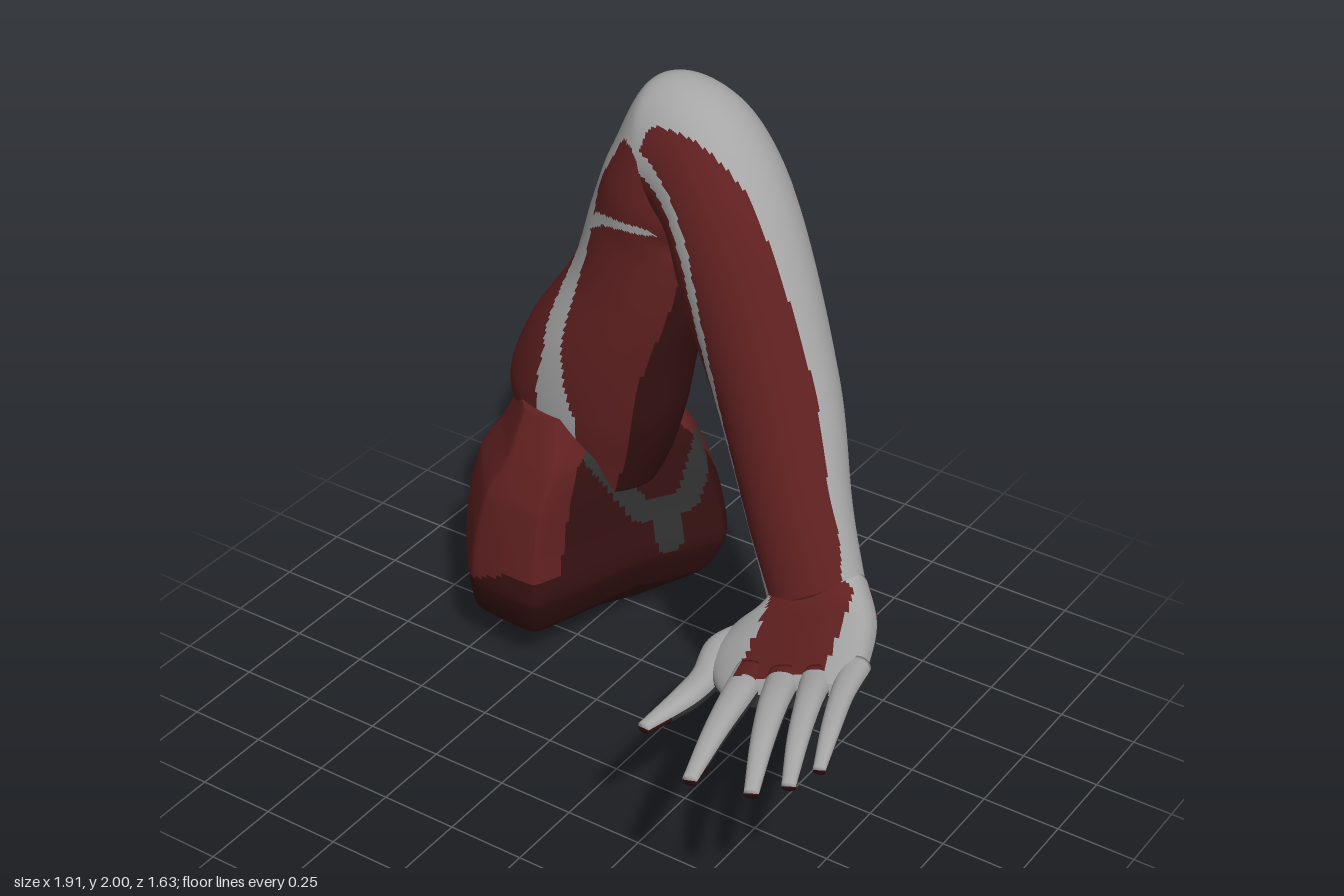
import * as THREE from 'three';

const V3 = (x, y, z) => new THREE.Vector3(x, y, z);
const RED = 0, GREY = 1, DARK = 2, DEEP = 3;
const { lerp, clamp } = THREE.MathUtils;

// Closed skin over a grid of points; paint(u, angle, centre) picks the material of each cell
function skin(name, nu, nv, point, paint, mats) {
  const pos = [], lists = [[], [], [], []], pts = [];
  for (let i = 0; i <= nu; i++) {
    const u = clamp((i - 1) / (nu - 2), 0, 1);
    for (let j = 0; j < nv; j++) {
      const p = point(u, j / nv, i === 0 || i === nu ? 0.001 : 1);
      pts.push(p);
      pos.push(p.x, p.y, p.z);
    }
  }
  for (let i = 0; i < nu; i++) {
    for (let j = 0; j < nv; j++) {
      const k = (j + 1) % nv;
      const a = i * nv + j, b = i * nv + k, c = a + nv, d = b + nv;
      const mid = pts[a].clone().add(pts[d]).multiplyScalar(0.5);
      const u = clamp((i - 0.5) / (nu - 2), 0, 1);
      lists[paint(u, (j + 0.5) / nv * 360, mid)].push(a, b, c, b, d, c);
    }
  }
  const g = new THREE.BufferGeometry();
  g.setAttribute('position', new THREE.Float32BufferAttribute(pos, 3));
  g.setIndex(lists.flat());
  let start = 0;
  lists.forEach((l, m) => {
    if (l.length) g.addGroup(start, l.length, m);
    start += l.length;
  });
  g.computeVertexNormals();
  const mesh = new THREE.Mesh(g, mats);
  mesh.name = name;
  return mesh;
}

// Limb through rings [outer xyz, inner xyz, half thickness]; angle 0 = outer, 90 = front or top
function limb(name, rings, nu, nv, paint, mats, square = 1) {
  const curve = f => new THREE.CatmullRomCurve3(rings.map(f));
  const A = curve(r => V3(r[0], r[1], r[2])), B = curve(r => V3(r[3], r[4], r[5]));
  const H = curve((r, i) => V3(r[6], i * 0.1, 0));
  const centre = u => A.getPoint(u).add(B.getPoint(u)).multiplyScalar(0.5);
  const round = c => Math.sign(c) * Math.abs(c) ** square;
  return skin(name, nu, nv, (u, v, s) => {
    const c = centre(u), U = A.getPoint(u).sub(c);
    const T = centre(Math.min(1, u + 0.02)).sub(centre(Math.max(0, u - 0.02)));
    const W = T.cross(U).normalize().multiplyScalar(H.getPoint(u).x);
    const a = v * Math.PI * 2;
    return c.addScaledVector(U, s * round(Math.cos(a))).addScaledVector(W, s * round(Math.sin(a)));
  }, paint, mats);
}

// Is the angle inside a stripe given as rows [ring, from, to]?
function inStripe(rows, s, angle) {
  for (let i = 0; i < rows.length - 1; i++) {
    const [s0, a0, b0] = rows[i], [s1, a1, b1] = rows[i + 1];
    if (s < s0 || s > s1) continue;
    const t = (s - s0) / (s1 - s0), a = lerp(a0, a1, t), b = lerp(b0, b1, t);
    if ([angle, angle - 360].some(x => x > a && x < b)) return true;
  }
  return false;
}

// Distance from a point to a segment in the side plane [z, y]
function segDist(z, y, [z0, y0, z1, y1]) {
  const dz = z1 - z0, dy = y1 - y0;
  const t = clamp(((z - z0) * dz + (y - y0) * dy) / (dz * dz + dy * dy), 0, 1);
  return Math.hypot(z - z0 - t * dz, y - y0 - t * dy);
}

export function createModel() {
  const group = new THREE.Group();
  group.name = 'bentArm';
  const colours = [['muscleRed', 0x602020], ['tendonGrey', 0xa6a6a6], ['palmDarkGrey', 0x323232], ['deepRed', 0x361111]];
  const mats = colours.map(([name, color]) => {
    const m = new THREE.MeshStandardMaterial({ color });
    m.name = name;
    return m;
  });

  // Upper arm, elbow and forearm
  const arm = [
    [-0.68, 0.58, -0.42, -0.32, 0.58, -0.42, 0.18],
    [-0.77, 0.72, -0.42, -0.26, 0.72, -0.42, 0.2],
    [-0.82, 0.85, -0.41, -0.21, 0.88, -0.41, 0.215],
    [-0.74, 1.08, -0.41, -0.18, 1.05, -0.41, 0.22],
    [-0.57, 1.35, -0.42, -0.13, 1.28, -0.42, 0.205],
    [-0.50, 1.57, -0.42, -0.12, 1.43, -0.43, 0.2],
    [-0.42, 1.77, -0.42, -0.14, 1.5, -0.42, 0.205],
    [-0.30, 1.985, -0.44, -0.13, 1.52, -0.41, 0.195],
    [-0.1, 1.98, -0.43, -0.11, 1.48, -0.37, 0.2],
    [0.12, 1.8, -0.38, -0.09, 1.38, -0.33, 0.205],
    [0.4, 1.27, -0.27, 0.1, 1.05, -0.22, 0.18],
    [0.53, 0.95, -0.17, 0.27, 0.77, -0.1, 0.145],
    [0.62, 0.73, -0.13, 0.37, 0.61, -0.02, 0.12],
  ];
  const stripes = [
    // front of the upper arm
    [[0, 73, 101], [2, 73, 101], [3, 65, 82], [4, 31, 57], [5, 18, 50], [5.7, 0, 42]],
    // branch into the crook
    [[4.8, 42, 50], [5.2, 52, 68], [5.6, 78, 93], [6, 108, 122], [6.1, 118, 128]],
    // elbow cap, then the ridge of the forearm
    [[4.2, -45, -15], [4.4, -60, -5], [5.3, -65, 0], [5.7, -98, 42], [6.5, -95, 50], [7, -75, 80],
      [7.3, -70, 72], [7.5, -65, 55], [8, -55, 50], [9, -35, 30], [10, -32, 22], [11.4, -36, 28], [12, -60, 45]],
    // thin line along the front of the forearm
    [[7, 70, 88], [8, 85, 99], [9, 93, 106], [10, 133, 145], [11, 145, 157], [12, 143, 160]],
    // back inner line of the upper arm, with its loop behind the elbow
    [[0, 236, 252], [4, 236, 252], [5, 245, 270], [5.8, 258, 300], [6.3, 270, 300]],
    [[4.2, 232, 245], [4.7, 215, 232], [5.2, 195, 214]],
    [[5.7, 215, 300], [6, 225, 300]],
  ];
  const innerArm = [[0, 135, 236], [3, 138, 236], [4.5, 145, 225], [5.5, 150, 210]];
  group.add(limb('arm', arm, 250, 150, (u, a) => {
    const s = u * (arm.length - 1);
    if (stripes.some(r => inStripe(r, s, a))) return GREY;
    return inStripe(innerArm, s, a) ? DEEP : RED;
  }, mats));

  // Shoulder mass: one outline scaled up the height, rows [y, scale, shift x, shift z]
  const outline = [[-0.88, -0.66], [-0.95, -0.28], [-0.72, 0.01], [-0.47, 0.03], [-0.4, -0.14],
    [-0.31, -0.41], [-0.18, -0.62], [-0.26, -0.74], [-0.62, -0.81]];
  const edge = new THREE.CatmullRomCurve3(outline.map(([x, z]) => V3(x + 0.57, 0, z + 0.4)), true, 'catmullrom', 0.2);
  const levels = [[0.003, 0.08, 0, 0], [0.03, 0.5, -0.07, 0], [0.14, 0.9, -0.04, -0.02], [0.29, 1, 0, 0],
    [0.45, 0.95, 0, 0], [0.6, 0.85, 0.01, 0.01], [0.72, 0.7, 0.03, 0.01], [0.85, 0.5, 0, 0]];
  const bend = f => new THREE.CatmullRomCurve3(levels.map(f), false, 'catmullrom', 0.3);
  const rise = bend(([y, s]) => V3(s, y, 0)), shift = bend(([y, , x, z]) => V3(x, y, z));
  const hollow = [[-0.24, 0.72, -0.38, 0.47], [-0.38, 0.47, -0.52, 0.47], [-0.52, 0.47, -0.58, 0.66], [-0.45, 0.46, -0.46, 0.33]];
  group.add(skin('shoulder', 90, 144, (u, v, s) => {
    const r = rise.getPoint(u), o = shift.getPoint(u);
    const p = edge.getPoint(v).multiplyScalar(r.x * s);
    return V3(p.x - 0.57 + o.x, r.y, p.z - 0.4 + o.z);
  }, (u, a, p) => {
    if (p.x > -0.46 && p.y > 0.28 && p.z > -0.64 && hollow.some(h => segDist(p.z, p.y, h) < 0.038)) return DARK;
    const line = 0.78 + (p.x + 0.3) * 0.28;
    if (p.z < -0.5 && p.x > -0.74 && Math.abs(p.y - line) < 0.025) return GREY;
    const inner = p.x > -0.43 && p.z < 0 && p.y < 0.6 + (p.z + 0.62) * 1.5;
    const under = p.y < 0.06 || (p.z > -0.6 && p.y < Math.min(0.37, 0.18 + (p.x + 0.95) * 0.5));
    return inner || under ? DEEP : RED;
  }, mats));

  // Palm: grey back with a red panel, dark underside
  const palm = [
    [0.62, 0.73, -0.14, 0.38, 0.61, -0.02, 0.1],
    [0.72, 0.69, -0.03, 0.32, 0.535, 0.07, 0.098],
    [0.79, 0.68, 0.12, 0.31, 0.515, 0.2, 0.085],
    [0.83, 0.68, 0.24, 0.39, 0.55, 0.32, 0.062],
    [0.83, 0.68, 0.31, 0.48, 0.59, 0.41, 0.042],
  ];
  const back = p => {
    const left = 0.4 + (p.z - 0.03) * 0.28, right = 0.66 + (p.z - 0.03) * 0.3;
    return p.x > left && p.x < right && p.z > -0.05 && p.z < 0.38 - (p.x - 0.53) * 0.45 ? RED : GREY;
  };
  group.add(limb('palm', palm, 80, 80, (u, a, p) => {
    if (a > 182 && a < 355) return p.z < -0.05 ? RED : DARK;
    return back(p);
  }, mats, 0.8));

  // Fingers: path points [x, y, z, half width]
  const fingers = {
    thumb: [[0.4, 0.55, 0.06, 0.07], [0.335, 0.54, 0.18, 0.058], [0.36, 0.535, 0.32, 0.046], [0.365, 0.54, 0.43, 0.04], [0.34, 0.535, 0.6, 0.02]],
    indexFinger: [[0.51, 0.61, 0.3, 0.05], [0.55, 0.63, 0.45, 0.045], [0.59, 0.635, 0.62, 0.035], [0.635, 0.62, 0.81, 0.021]],
    middleFinger: [[0.62, 0.64, 0.3, 0.05], [0.68, 0.67, 0.46, 0.042], [0.745, 0.67, 0.62, 0.033], [0.82, 0.645, 0.79, 0.021]],
    ringFinger: [[0.71, 0.66, 0.27, 0.048], [0.77, 0.69, 0.42, 0.038], [0.83, 0.69, 0.57, 0.031], [0.9, 0.665, 0.73, 0.02]],
    littleFinger: [[0.78, 0.67, 0.18, 0.045], [0.83, 0.69, 0.34, 0.034], [0.88, 0.69, 0.48, 0.028], [0.935, 0.67, 0.63, 0.018]],
  };
  for (const [name, path] of Object.entries(fingers)) {
    const first = path[0], last = path[path.length - 1];
    const side = V3(last[2] - first[2], 0.06, first[0] - last[0]).normalize();
    const rings = path.map(([x, y, z, w]) => [
      x + side.x * w, y + side.y * w, z + side.z * w,
      x - side.x * w, y - side.y * w, z - side.z * w, w * 0.9]);
    group.add(limb(name, rings, 36, 36, (u, a, p) => {
      if (a > 182 && a < 358) return u > 0.88 ? DEEP : DARK;
      return back(p);
    }, mats, 0.85));
  }
  return group;
}
